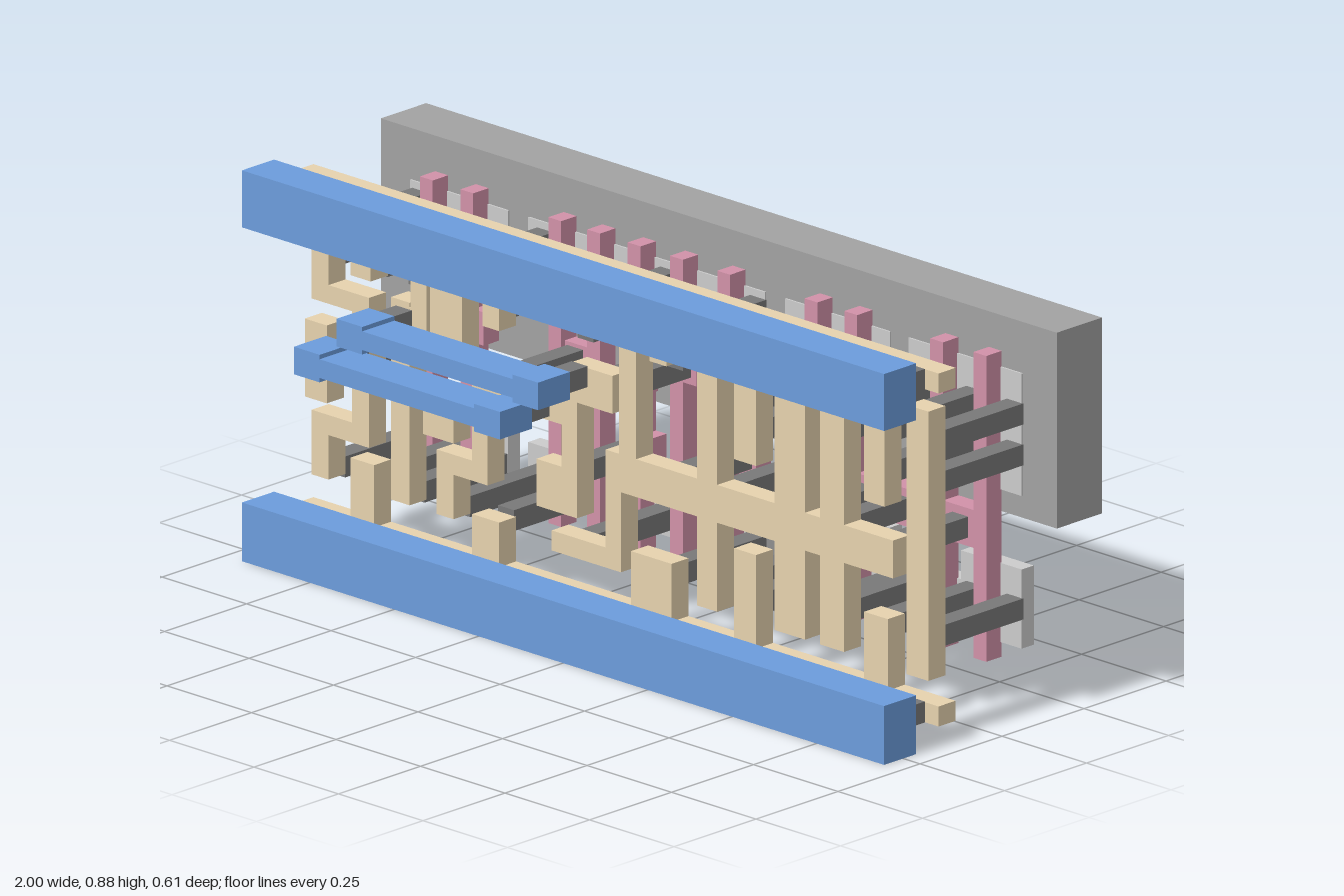
import * as THREE from 'three';

const mat = (color) => new THREE.MeshStandardMaterial({ color, flatShading: true });

// Layer stack, back to front: depth range and material of each layer
const LAYERS = {
  well: { z: [-0.305, -0.167], m: mat(0xa2a2a2) },
  diffusion: { z: [-0.2, -0.163], m: mat(0xcccccc) },
  gate: { z: [-0.167, -0.12], m: mat(0xd191a8) },
  gateContact: { z: [-0.13, 0.09], m: mat(0x787878) },
  deepContact: { z: [-0.165, 0.09], m: mat(0x787878) },
  wiring: { z: [0.09, 0.142], m: mat(0xe6d2ae) },
  via: { z: [0.142, 0.21], m: mat(0x787878) },
  metal: { z: [0.21, 0.308], m: mat(0x6c9cdc) },
};

export function createModel() {
  const model = new THREE.Group();
  const groups = {};

  // Adds one box in a layer from its front outline: x0, x1, y0, y1
  function plate(layer, name, [x0, x1, y0, y1]) {
    const { z, m } = LAYERS[layer];
    if (!groups[layer]) {
      groups[layer] = new THREE.Group();
      groups[layer].name = layer + 'Layer';
      model.add(groups[layer]);
    }
    const mesh = new THREE.Mesh(new THREE.BoxGeometry(x1 - x0, y1 - y0, z[1] - z[0]), m);
    mesh.position.set((x0 + x1) / 2, (y0 + y1) / 2, (z[0] + z[1]) / 2);
    mesh.name = name;
    groups[layer].add(mesh);
  }
  const plates = (layer, name, list) => list.forEach((r) => plate(layer, name, r));
  // Square pins given by their centres
  const pins = (layer, name, list, s = 0.047) => list.forEach(([x, y]) =>
    plate(layer, name, [x - s / 2, x + s / 2, y - s / 2, y + s / 2]));

  // Back slab
  plate('well', 'backSlab', [-1, 1, 0.425, 0.865]);

  // Diffusion plates, lower and upper rows
  plates('diffusion', 'lowerPlate', [
    [-0.91, -0.62, 0.132, 0.245], [-0.56, 0.14, 0.132, 0.245],
    [0.2, 0.51, 0.132, 0.31], [0.565, 0.72, 0.132, 0.245], [0.72, 0.9, 0.132, 0.31],
  ]);
  plates('diffusion', 'upperPlate', [
    [-0.91, -0.62, 0.57, 0.75], [-0.56, 0.14, 0.61, 0.75],
    [0.2, 0.51, 0.475, 0.75], [0.565, 0.72, 0.62, 0.75], [0.72, 0.9, 0.475, 0.75],
  ]);

  // Vertical gate bars with their contact pads
  const gateX = [-0.82, -0.7, -0.44, -0.325, -0.205, -0.08, 0.06, 0.318, 0.436, 0.69, 0.818];
  gateX.forEach((x) => plate('gate', 'gateBar', [x - 0.019, x + 0.019, 0.098, 0.785]));
  plates('gate', 'gatePad', [
    [-0.92, -0.8, 0.36, 0.44], [-0.77, -0.65, 0.45, 0.525], [-0.567, -0.45, 0.34, 0.42],
    [-0.41, -0.31, 0.45, 0.52], [-0.25, -0.155, 0.275, 0.36], [-0.25, -0.18, 0.45, 0.52],
    [-0.11, -0.02, 0.51, 0.59], [0.03, 0.155, 0.345, 0.43],
    [0.245, 0.46, 0.345, 0.43], [0.44, 0.82, 0.345, 0.43],
  ]);

  // Contacts landing on the gate pads
  pins('gateContact', 'gateContact', [
    [-0.885, 0.405], [-0.755, 0.488], [-0.525, 0.385], [-0.38, 0.488], [-0.21, 0.318],
    [-0.215, 0.488], [-0.06, 0.55], [0.12, 0.388], [0.265, 0.388], [0.485, 0.388],
    [0.585, 0.388], [0.76, 0.388],
  ]);

  // Contacts landing on the diffusion plates
  const columns = [-0.88, -0.755, -0.645, -0.51, -0.38, -0.145, 0.12, 0.265, 0.375, 0.505, 0.63, 0.76, 0.88];
  for (const x of columns) pins('deepContact', 'deepContact', [[x, 0.66], [x, x > 0.6 ? 0.222 : 0.18]]);
  pins('deepContact', 'deepContact', [
    [0.88, 0.568], [0.76, 0.568], [0.505, 0.568], [0.375, 0.568], [0.265, 0.568],
    [-0.88, 0.71], [-0.51, 0.71], [-0.145, 0.71], [0.12, 0.71],
  ]);

  // Wiring rails and the stubs growing from them
  plates('wiring', 'wiringRail', [[-0.95, 0.95, 0.045, 0.09], [-0.95, 0.95, 0.793, 0.838]]);
  plates('wiring', 'lowerStub', [
    [-0.79, -0.72, 0.09, 0.23], [-0.43, -0.35, 0.09, 0.19], [0.04, 0.16, 0.09, 0.22],
    [0.345, 0.41, 0.09, 0.3], [0.73, 0.8, 0.09, 0.25],
  ]);
  plates('wiring', 'upperStub', [
    [-0.79, -0.73, 0.64, 0.793], [-0.4, -0.35, 0.62, 0.793], [0.095, 0.145, 0.66, 0.793],
    [0.345, 0.41, 0.5, 0.793], [0.73, 0.79, 0.5, 0.793],
  ]);

  // Local wiring runs, left to right
  plates('wiring', 'localWire', [
    [-0.905, -0.855, 0.56, 0.745], [-0.905, -0.735, 0.56, 0.602], [-0.785, -0.735, 0.265, 0.602],
    [-0.905, -0.735, 0.265, 0.31], [-0.905, -0.855, 0.165, 0.31], [-0.925, -0.86, 0.335, 0.51],
    [-0.67, -0.615, 0.165, 0.62], [-0.67, -0.565, 0.55, 0.61], [-0.612, -0.565, 0.55, 0.745],
    [-0.555, -0.46, 0.5, 0.735], [-0.575, -0.485, 0.335, 0.445],
    [-0.535, -0.485, 0.165, 0.31], [-0.535, -0.385, 0.265, 0.31], [-0.43, -0.385, 0.265, 0.53],
    [-0.43, -0.345, 0.445, 0.53],
    [-0.24, -0.12, 0.255, 0.36], [-0.165, -0.12, 0.255, 0.53], [-0.26, -0.12, 0.455, 0.52],
    [-0.2, 0.055, 0.69, 0.735], [0.005, 0.055, 0.4, 0.735], [-0.14, -0.015, 0.515, 0.6],
    [-0.195, 0.01, 0.165, 0.21], [-0.035, 0.01, 0.165, 0.43], [-0.035, 0.815, 0.345, 0.43],
  ]);
  plates('wiring', 'wirePillar', [
    [0.235, 0.295, 0.145, 0.735], [0.465, 0.555, 0.145, 0.735],
    [0.6, 0.67, 0.145, 0.735], [0.855, 0.92, 0.14, 0.745],
  ]);

  // Vias joining the rails to the front metal
  for (let i = 0; i < 15; i++) {
    const x = -0.885 + i * 0.1265;
    pins('via', 'railVia', [[x, 0.068], [x, 0.815]]);
  }
  pins('via', 'strapVia', [[-0.632, 0.581], [-0.112, 0.581], [-0.758, 0.488], [-0.225, 0.488]]);

  // Front metal rails and the two straps with widened ends
  plates('metal', 'frontRail', [[-0.95, 0.95, 0, 0.132], [-0.95, 0.95, 0.75, 0.878]]);
  for (const [x0, x1, y] of [[-0.632, -0.112, 0.581], [-0.758, -0.225, 0.488]]) {
    plate('metal', 'strap', [x0, x1, y - 0.021, y + 0.021]);
    for (const x of [x0, x1]) plate('metal', 'strapEnd', [x - 0.038, x + 0.038, y - 0.031, y + 0.031]);
  }
  return model;
}
